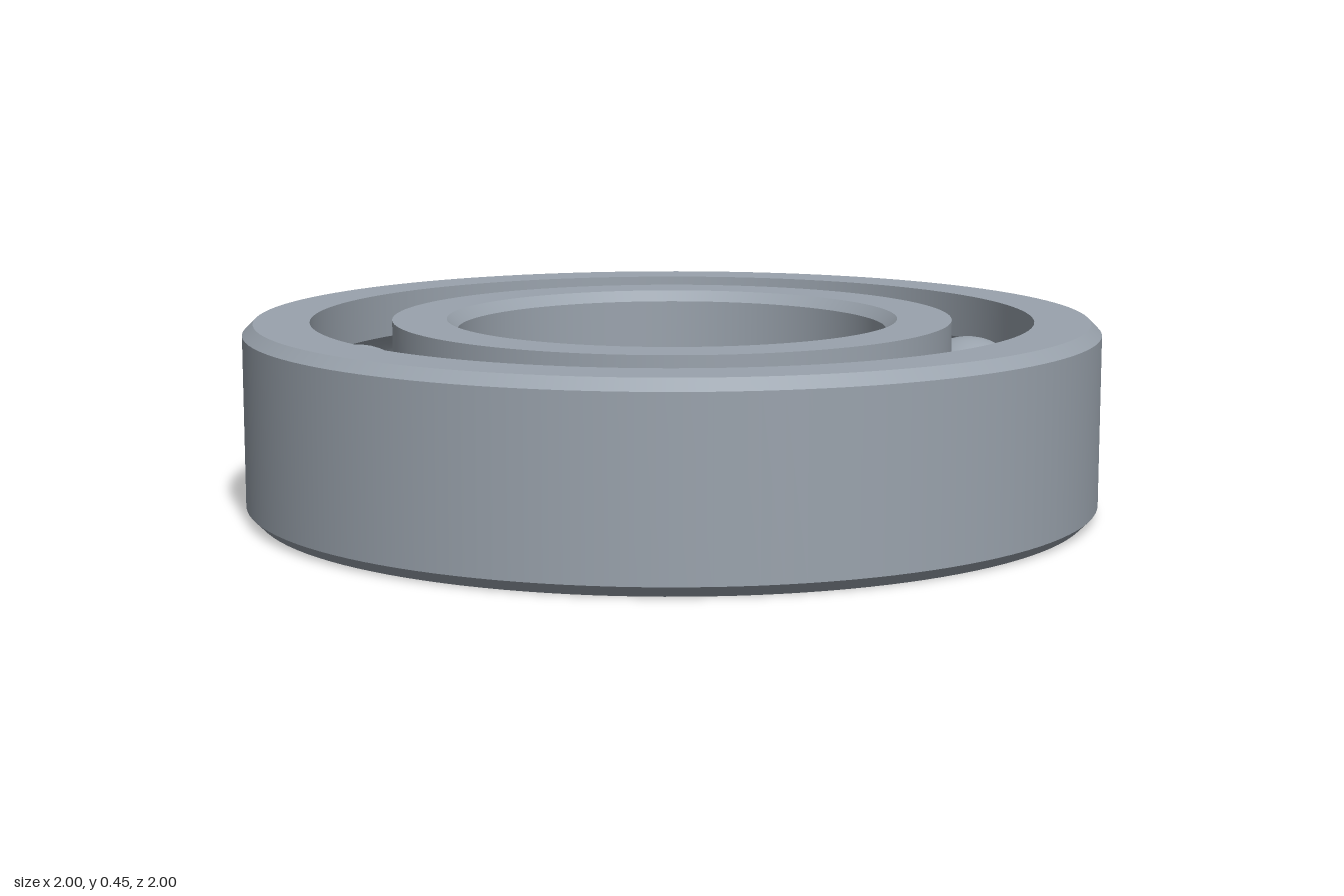
import * as THREE from 'three';
import { mergeGeometries } from 'three/addons/utils/BufferGeometryUtils.js';

const HEIGHT = 0.447;
const MID = HEIGHT / 2;
const CHAMFER = 0.025;
const PITCH = 0.75;    // radius of the circle of ball centres
const GROOVE = 0.15;   // raceway radius
const BALL = 0.148;
const SEGMENTS = 128;

// Lathe each smooth run of a profile on its own, so the corners between runs stay sharp
function ringGeometry(runs) {
  return mergeGeometries(runs.map((run) =>
    new THREE.LatheGeometry(run.map(([r, y]) => new THREE.Vector2(r, y)), SEGMENTS)));
}

// Raceway arc around the ball centre, swept from one angle to another
function raceway(from, to, steps = 16) {
  return Array.from({ length: steps + 1 }, (_, i) => {
    const a = from + (to - from) * i / steps;
    return [PITCH + GROOVE * Math.cos(a), MID + GROOVE * Math.sin(a)];
  });
}

// Straight runs between successive corners
const straights = (pts) => pts.slice(1).map((p, i) => [pts[i], p]);

export function createModel() {
  const group = new THREE.Group();
  const steel = new THREE.MeshStandardMaterial({ color: 0x9aa3ad });
  steel.name = 'steel';

  const add = (name, geometry) => {
    const mesh = new THREE.Mesh(geometry, steel);
    mesh.name = name;
    group.add(mesh);
    return mesh;
  };

  // Outer ring: chamfered outside, raceway on the inner wall
  const R = 1, lipOut = 0.845;
  const a = Math.acos((lipOut - PITCH) / GROOVE);
  const outerArc = raceway(a, -a);
  add('outerRing', ringGeometry([
    ...straights([
      outerArc.at(-1), [lipOut, 0], [R - CHAMFER, 0], [R, CHAMFER],
      [R, HEIGHT - CHAMFER], [R - CHAMFER, HEIGHT], [lipOut, HEIGHT], outerArc[0],
    ]),
    outerArc,
  ]));

  // Inner ring: chamfered bore, raceway on the outer wall
  const bore = 0.503, lipIn = 0.655;
  const b = Math.acos((PITCH - lipIn) / GROOVE);
  const innerArc = raceway(Math.PI + b, Math.PI - b);
  add('innerRing', ringGeometry([
    ...straights([
      innerArc.at(-1), [lipIn, HEIGHT], [bore + CHAMFER, HEIGHT], [bore, HEIGHT - CHAMFER],
      [bore, CHAMFER], [bore + CHAMFER, 0], [lipIn, 0], innerArc[0],
    ]),
    innerArc,
  ]));

  // Nine balls, evenly spaced and turned slightly off the front axis
  const ballGeometry = new THREE.SphereGeometry(BALL, 40, 24);
  for (let i = 0; i < 9; i++) {
    const angle = THREE.MathUtils.degToRad(-2 + i * 40);
    add(`ball${i + 1}`, ballGeometry)
      .position.set(PITCH * Math.sin(angle), MID, PITCH * Math.cos(angle));
  }

  return group;
}
